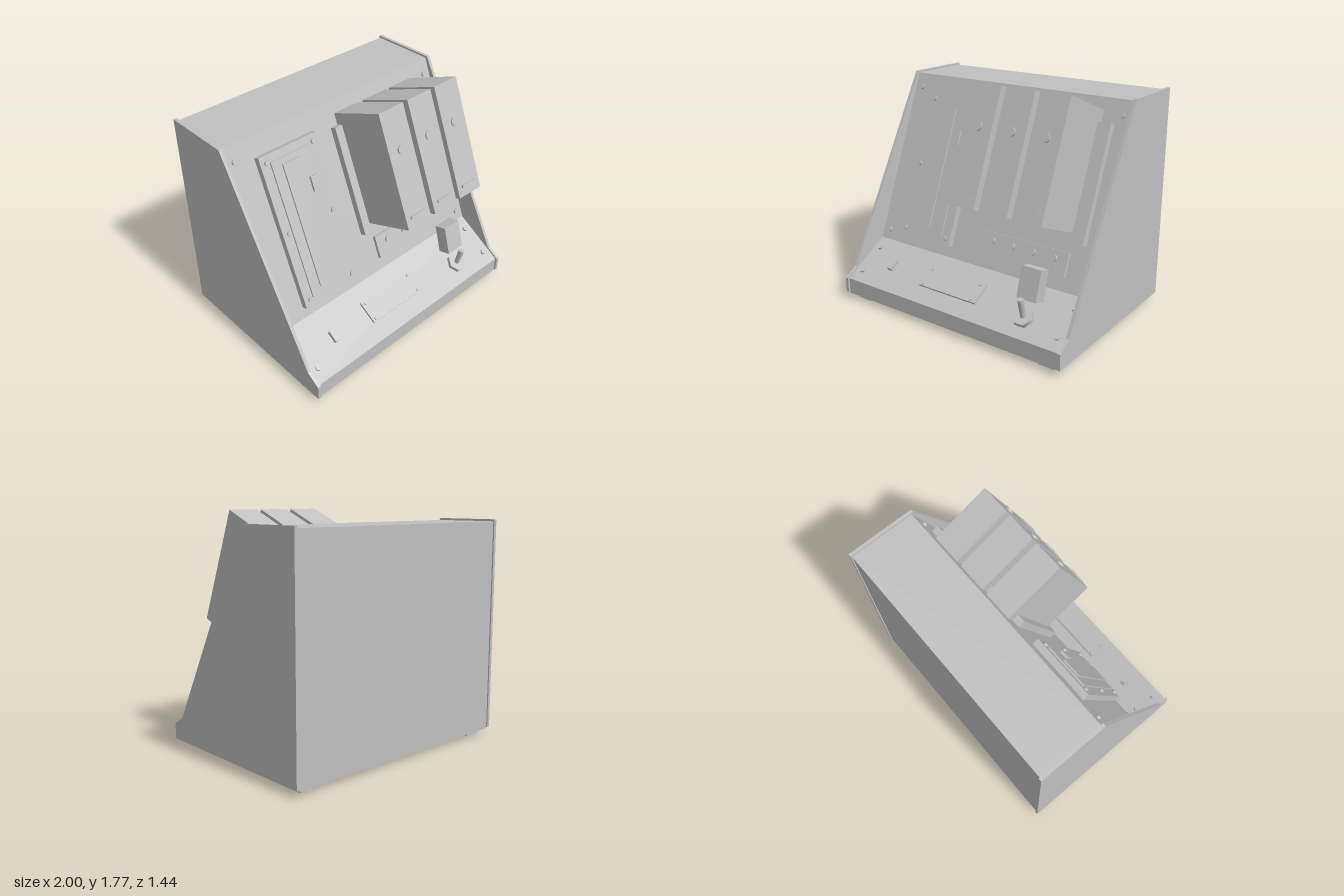
import * as THREE from 'three';

export function createModel() {
  const model = new THREE.Group();
  model.name = 'controlConsole';
  const grey = new THREE.MeshStandardMaterial({ color: 0xc0c0c0 });
  grey.name = 'light grey';

  const add = (parent, name, geo, x = 0, y = 0, z = 0) => {
    const mesh = new THREE.Mesh(geo, grey);
    mesh.name = name;
    mesh.position.set(x, y, z);
    parent.add(mesh);
    return mesh;
  };
  // box given by its limits on each axis
  const block = (parent, name, x0, x1, y0, y1, z0, z1) =>
    add(parent, name, new THREE.BoxGeometry(x1 - x0, y1 - y0, z1 - z0),
      (x0 + x1) / 2, (y0 + y1) / 2, (z0 + z1) / 2);
  // disc standing on a face, with its axis along local z
  const disc = (parent, name, r, h, x, y, z, sides = 20) =>
    add(parent, name, new THREE.CylinderGeometry(r, r, h, sides).rotateX(Math.PI / 2), x, y, z + h / 2);
  // side outline of [z, y] points, extruded across x
  const profile = (name, points, width, x) => {
    const shape = new THREE.Shape(points.map(([z, y]) => new THREE.Vector2(z, y)));
    const geo = new THREE.ExtrudeGeometry(shape, { depth: width, bevelEnabled: false });
    geo.translate(0, 0, -width / 2).rotateY(-Math.PI / 2);
    return add(model, name, geo, x);
  };
  // tilted frame: local y runs up the surface, local z points out of it
  const frame = (name, y, z, tilt) => {
    const g = new THREE.Group();
    g.name = name;
    g.position.set(0, y, z);
    g.rotation.x = -tilt;
    model.add(g);
    return g;
  };

  // cabinet body, side panels and feet
  profile('body', [[-0.71, 0.04], [0.705, 0.04], [0.705, 0.165], [0.32, 0.395],
    [-0.205, 1.68], [-0.71, 1.68]], 1.95, 0);
  for (const s of [-1, 1]) {
    profile('sidePanel', [[-0.72, 0.05], [0.72, 0.05], [0.72, 0.17], [0.617, 0.235],
      [-0.19, 1.695], [-0.72, 1.695]], 0.025, s * 0.9875);
    for (const z of [0.592, -0.592])
      add(model, 'foot', new THREE.BoxGeometry(0.13, 0.04, 0.135), s * 0.855, 0.02, z);
  }

  // sloping upper panel
  const panel = frame('upperPanel', 0.395, 0.32, Math.atan2(0.525, 1.285));
  for (const x of [-0.91, 0.91])
    for (const y of [0.08, 1.275]) disc(panel, 'panelScrew', 0.02, 0.015, x, y, 0);

  // left slider unit
  block(panel, 'sliderBase', -0.76, -0.255, 0.084, 1.243, 0, 0.05);
  block(panel, 'sliderPlate', -0.685, -0.335, 0.141, 1.184, 0.05, 0.062);
  block(panel, 'sliderStrip', -0.605, -0.46, 0.194, 1.139, 0.062, 0.074);
  block(panel, 'sliderKnob', -0.425, -0.365, 0.857, 0.97, 0.062, 0.08);
  for (const x of [-0.71, -0.305])
    for (const y of [0.135, 0.662, 1.19]) disc(panel, 'sliderScrew', 0.018, 0.015, x, y, 0.05);

  // plug-in modules on their backing plate
  block(panel, 'modulePlate', -0.09, 0.865, 0.346, 1.204, 0, 0.054);
  for (const x of [0.0925, 0.3715, 0.6475]) {
    block(panel, 'module', x - 0.1175, x + 0.1175, 0.418, 1.292, 0, 0.484);
    disc(panel, 'moduleButton', 0.035, 0.012, x, 0.991, 0.484, 32);
    block(panel, 'moduleSlit', x - 0.072, x + 0.072, 0.486, 0.506, 0.484, 0.496);
  }

  // row of push buttons
  block(panel, 'buttonPlate', 0.01, 0.76, 0.095, 0.276, 0, 0.025);
  for (const x of [0.12, 0.296, 0.475, 0.655]) disc(panel, 'pushButton', 0.023, 0.015, x, 0.213, 0.025);

  // box above the toggle switch
  const guard = frame('toggleGuard', 0.49, 0.5225, 0.28);
  block(guard, 'guardBox', 0.535, 0.695, -0.115, 0.115, -0.1, 0);

  // sloping lower deck
  const deck = frame('lowerDeck', 0.395, 0.32, 1.031);
  for (const x of [-0.91, 0.91])
    for (const y of [-0.1, -0.345]) disc(deck, 'deckScrew', 0.02, 0.015, x, y, 0);
  block(deck, 'deckPlate', -0.335, 0.2, -0.31, -0.135, 0, 0.018);
  for (const x of [-0.305, 0.15])
    for (const y of [-0.155, -0.293]) disc(deck, 'plateScrew', 0.011, 0.01, x, y, 0.018, 12);
  block(deck, 'rockerSwitch', -0.69, -0.65, -0.27, -0.18, 0, 0.03);

  // toggle switch
  const nut = disc(deck, 'toggleNut', 0.077, 0.032, 0.613, -0.29, 0, 6);
  nut.rotation.z = Math.PI / 6;
  const lever = add(model, 'toggleLever', new THREE.CylinderGeometry(0.023, 0.02, 0.16, 20), 0.613, 0.335, 0.598);
  lever.rotation.x = 0.24;

  return model;
}
